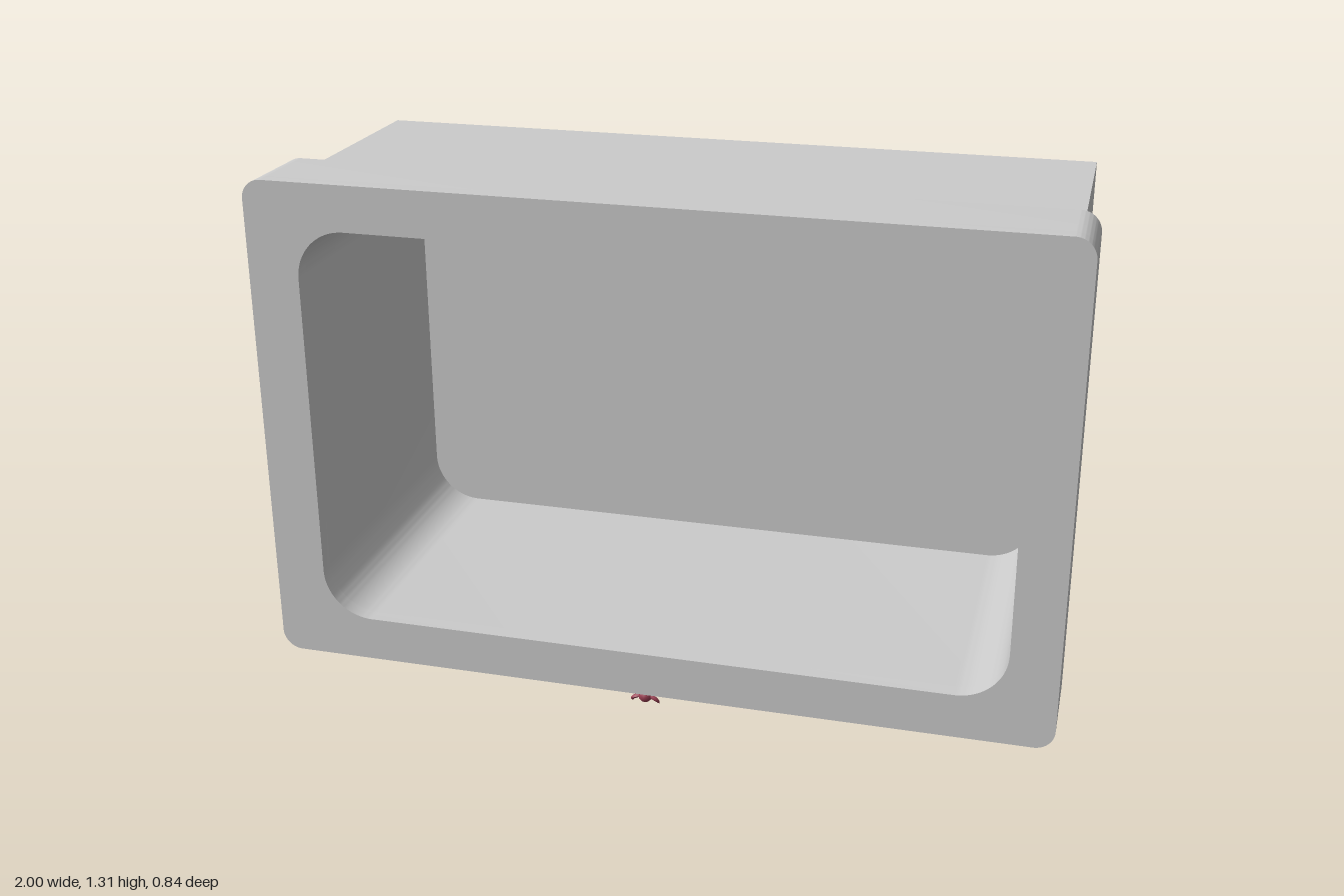
import * as THREE from 'three';
import { toCreasedNormals } from 'three/addons/utils/BufferGeometryUtils.js';

const grey = new THREE.MeshStandardMaterial({ color: 0xcccccc });
const red = new THREE.MeshStandardMaterial({ color: 0x9c4054, side: THREE.DoubleSide });

// Rounded rectangle outline; r = 0 gives sharp corners
function outline(Type, x0, y0, x1, y1, r) {
  const s = new Type();
  if (r === 0) {
    s.moveTo(x0, y0); s.lineTo(x1, y0); s.lineTo(x1, y1); s.lineTo(x0, y1); s.closePath();
    return s;
  }
  s.absarc(x1 - r, y0 + r, r, -Math.PI / 2, 0);
  s.absarc(x1 - r, y1 - r, r, 0, Math.PI / 2);
  s.absarc(x0 + r, y1 - r, r, Math.PI / 2, Math.PI);
  s.absarc(x0 + r, y0 + r, r, Math.PI, Math.PI * 1.5);
  s.closePath();
  return s;
}

// Frame extruded between two depths
function frame(name, outer, inner, z0, z1) {
  const shape = outline(THREE.Shape, ...outer);
  shape.holes.push(outline(THREE.Path, ...inner));
  const geo = new THREE.ExtrudeGeometry(shape, { depth: z1 - z0, bevelEnabled: false, curveSegments: 12 });
  geo.translate(0, 0, z0);
  const mesh = new THREE.Mesh(toCreasedNormals(geo, 0.6), grey);
  mesh.name = name;
  return mesh;
}

// Flat strand following a curve, tapering towards both ends
function strand(name, points, width, thick) {
  const curve = new THREE.CatmullRomCurve3(points.map(p => new THREE.Vector3(...p)));
  const n = 24, sides = 6;
  const geo = new THREE.TubeGeometry(curve, n, 1, sides);
  const pos = geo.attributes.position;
  for (let i = 0; i <= n; i++) {
    const t = i / n, c = curve.getPointAt(t), tan = curve.getTangentAt(t);
    const side = new THREE.Vector3(tan.z, 0, -tan.x).normalize();
    const up = new THREE.Vector3().crossVectors(tan, side);
    const k = 0.12 + 0.88 * Math.sin(Math.PI * t) ** 0.7;
    for (let j = 0; j <= sides; j++) {
      const a = (j / sides) * Math.PI * 2;
      const p = c.clone()
        .addScaledVector(side, Math.cos(a) * width * k)
        .addScaledVector(up, Math.sin(a) * thick * k);
      pos.setXYZ(i * (sides + 1) + j, p.x, p.y, p.z);
    }
  }
  geo.computeVertexNormals();
  const mesh = new THREE.Mesh(geo, red);
  mesh.name = name;
  return mesh;
}

export function createModel() {
  const model = new THREE.Group();
  model.name = 'openBox';

  const opening = [-0.87, 0.165, 0.88, 1.2, 0.125];
  const bodyRect = [-0.96, 0.09, 0.96, 1.275, 0];
  const lidRect = [-1, 0.05, 1, 1.315, 0.05];
  const lidInner = [-0.975, 0.075, 0.975, 1.29, 0.03];

  // Hollow body with a solid back
  model.add(frame('bodyWalls', bodyRect, opening, -0.35, 0.38));
  const back = new THREE.Mesh(new THREE.BoxGeometry(1.92, 1.185, 0.07), grey);
  back.position.set(0, 0.6825, -0.385);
  back.name = 'bodyBack';
  model.add(back);

  // Front collar: face plate plus a thin skirt standing off the body
  model.add(frame('collarFace', lidRect, opening, 0.38, 0.42));
  model.add(frame('collarSkirt', lidRect, lidInner, 0.2, 0.38));

  // Small red sprig hanging under the collar
  const sprig = new THREE.Group();
  sprig.name = 'sprig';
  sprig.add(
    strand('leftStrand', [[-0.02, 0.03, 0.4], [0.035, 0.038, 0.34], [0.055, 0.045, 0.23], [0.045, 0.04, 0.12], [0.01, 0.026, 0.02]], 0.014, 0.008),
    strand('rightStrand', [[-0.02, 0.03, 0.4], [-0.05, 0.036, 0.32], [-0.06, 0.045, 0.2], [-0.06, 0.038, 0.1], [-0.08, 0.02, 0.02]], 0.016, 0.008),
    strand('innerStrand', [[-0.01, 0.035, 0.39], [0.015, 0.04, 0.3], [0.045, 0.05, 0.18], [0.03, 0.035, 0.04]], 0.008, 0.006),
    strand('wisp', [[-0.05, 0.048, 0.24], [-0.045, 0.045, 0.12], [-0.06, 0.025, 0.03], [-0.075, 0.002, -0.05]], 0.007, 0.004),
  );
  // Knot and its loose ends
  const knot = new THREE.Mesh(new THREE.IcosahedronGeometry(0.018, 1), red);
  knot.position.set(-0.02, 0.031, 0.39);
  knot.name = 'knot';
  sprig.add(knot);
  for (const s of [-1, 1]) {
    sprig.add(strand('looseEnd', [[-0.02, 0.035, 0.39], [-0.02 + s * 0.03, 0.025, 0.395], [-0.02 + s * 0.035, 0.01, 0.385]], 0.006, 0.005));
  }
  model.add(sprig);
  return model;
}
